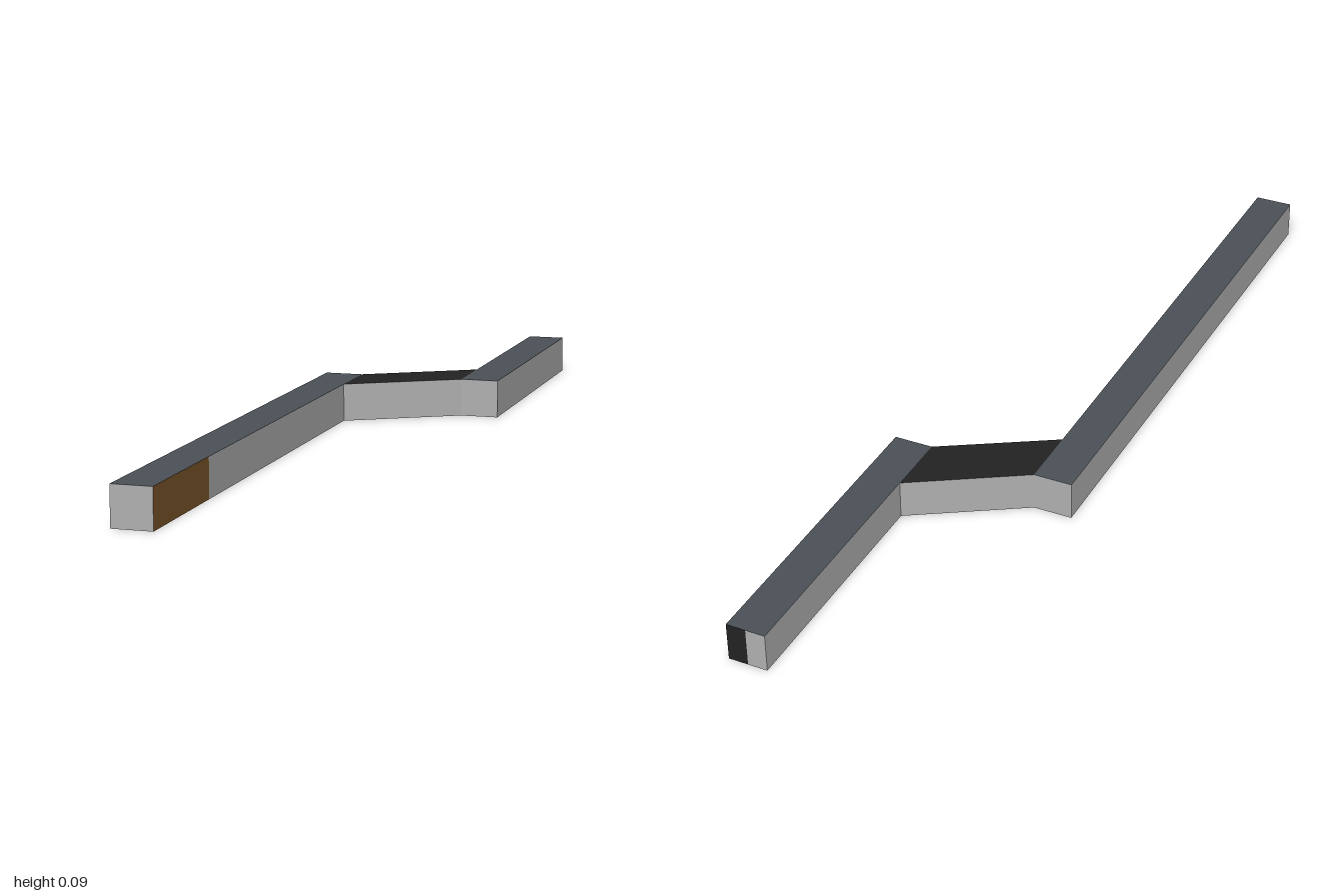
import * as THREE from 'three';

const H = 0.085;

function material(name, color) {
  const m = new THREE.MeshStandardMaterial({ color });
  m.name = name;
  return m;
}

// Upright prism over a convex footprint of [x, z] corners (back-left, front-left, front-right...).
// walls[i] is the material of the wall from corner i to i + 1; null leaves a hidden joint open.
function prism(name, corners, top, bottom, walls) {
  const positions = [];
  const materials = [];
  const geometry = new THREE.BufferGeometry();
  const addFace = (points, mat) => {
    const start = positions.length / 3;
    for (let i = 1; i < points.length - 1; i++) {
      positions.push(...points[0], ...points[i], ...points[i + 1]);
    }
    geometry.addGroup(start, positions.length / 3 - start, materials.length);
    materials.push(mat);
  };
  const low = corners.map(([x, z]) => [x, 0, z]);
  const high = corners.map(([x, z]) => [x, H, z]);
  addFace(high, top);
  addFace([low[0], ...low.slice(1).reverse()], bottom);
  walls.forEach((mat, i) => {
    const j = (i + 1) % corners.length;
    if (mat) addFace([low[i], low[j], high[j], high[i]], mat);
  });
  geometry.setAttribute('position', new THREE.Float32BufferAttribute(positions, 3));
  geometry.computeVertexNormals();
  const mesh = new THREE.Mesh(geometry, materials);
  mesh.name = name;
  return mesh;
}

export function createModel() {
  const grey = material('light grey', 0xb0b0b0);
  const slate = material('slate', 0x4a5056);
  const black = material('black', 0x222222);
  const brown = material('brown', 0x7d5729);

  const outer = 0.206, inner = 0.12, joint = -0.305;
  const model = new THREE.Group();
  model.name = 'offsetWall';

  // Long front section, with a brown panel at the front of its inner side
  model.add(prism('longSection',
    [[-outer, joint], [-outer, 1], [-inner, 1], [-inner, 0.71], [-inner, joint]],
    slate, grey, [grey, grey, brown, grey, grey]));

  // Short rear section, with a dark panel on half of its end
  model.add(prism('shortSection',
    [[inner, joint], [outer, joint], [outer, -1], [(inner + outer) / 2, -1], [inner, -1]],
    slate, grey, [grey, grey, black, grey, grey]));

  // Slanted link between the two sections
  model.add(prism('slantedLink',
    [[-inner, joint], [-inner, -0.163], [inner, joint], [inner, -0.45]],
    black, grey, [null, grey, null, grey]));

  return model;
}
